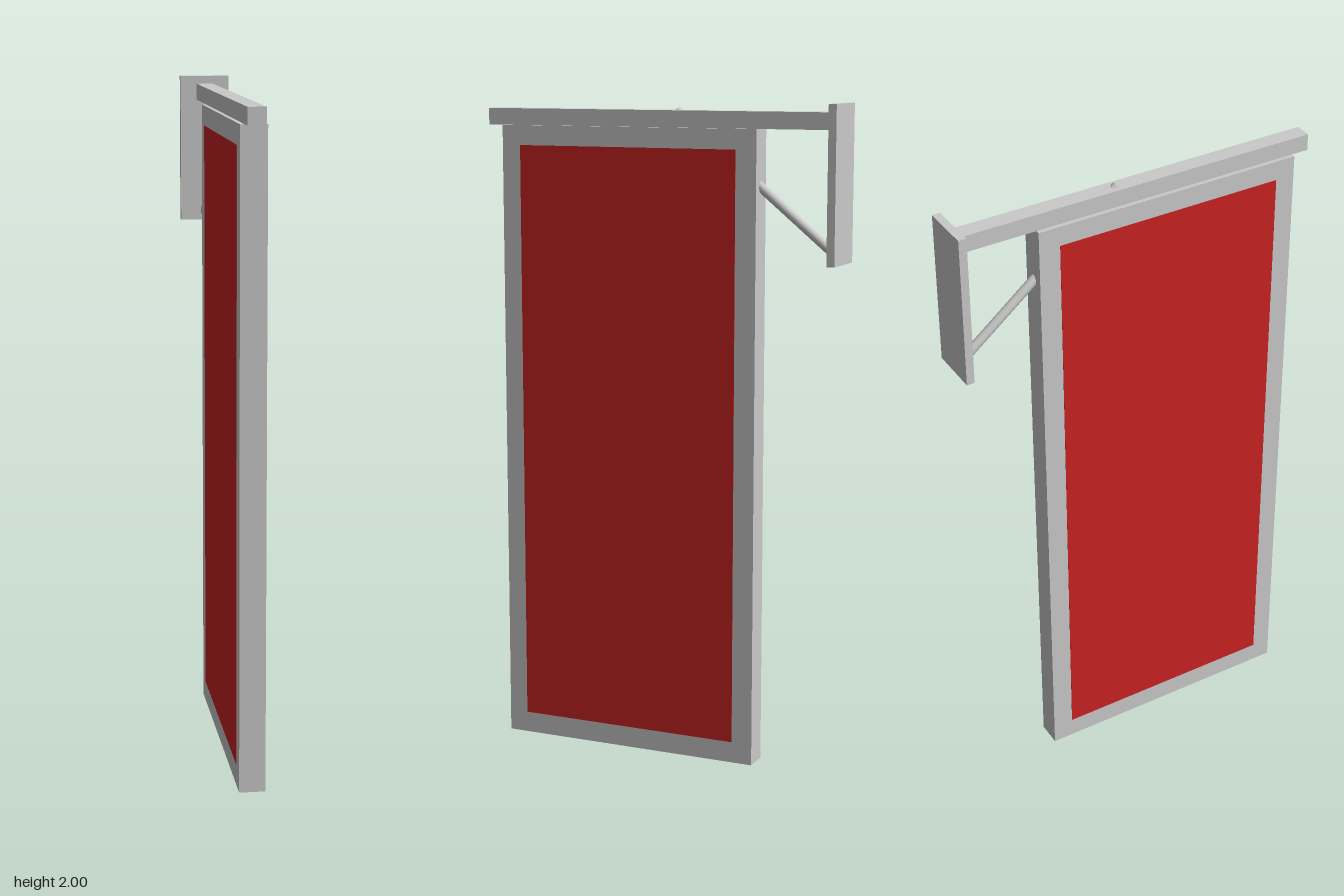
import * as THREE from 'three';

export function createModel() {
  const model = new THREE.Group();
  model.name = 'hangingSign';

  const greyMetal = new THREE.MeshStandardMaterial({ color: 0xcacaca });
  greyMetal.name = 'grey metal';
  const redPanel = new THREE.MeshStandardMaterial({ color: 0xca2222 });
  redPanel.name = 'red panel';

  // Box centred on x, given by its y and z limits
  function addBox(name, width, y0, y1, z0, z1, material, x = 0) {
    const mesh = new THREE.Mesh(new THREE.BoxGeometry(width, y1 - y0, z1 - z0), material);
    mesh.position.set(x, (y0 + y1) / 2, (z0 + z1) / 2);
    mesh.name = name;
    model.add(mesh);
  }

  // Sign body, support beam and wall plate
  addBox('signBody', 0.077, 0, 1.925, -0.315, 0.517, greyMetal);
  addBox('supportBeam', 0.052, 1.925, 1.975, -0.55, 0.57, greyMetal);
  addBox('wallPlate', 0.155, 1.54, 2, -0.572, -0.548, greyMetal);

  // Coloured panel on each face
  for (const side of [1, -1]) {
    addBox(side > 0 ? 'leftPanel' : 'rightPanel', 0.002, 0.065, 1.865, -0.25, 0.457, redPanel, side * 0.0385);
  }

  // Diagonal brace from the wall plate, through the body, to the top of the beam
  const start = new THREE.Vector3(0, 1.565, -0.55);
  const end = new THREE.Vector3(0, 1.974, -0.047);
  const axis = end.clone().sub(start);
  const brace = new THREE.Mesh(new THREE.CylinderGeometry(0.014, 0.014, axis.length(), 16), greyMetal);
  brace.position.copy(start).add(end).multiplyScalar(0.5);
  brace.quaternion.setFromUnitVectors(new THREE.Vector3(0, 1, 0), axis.normalize());
  brace.name = 'diagonalBrace';
  model.add(brace);

  return model;
}
